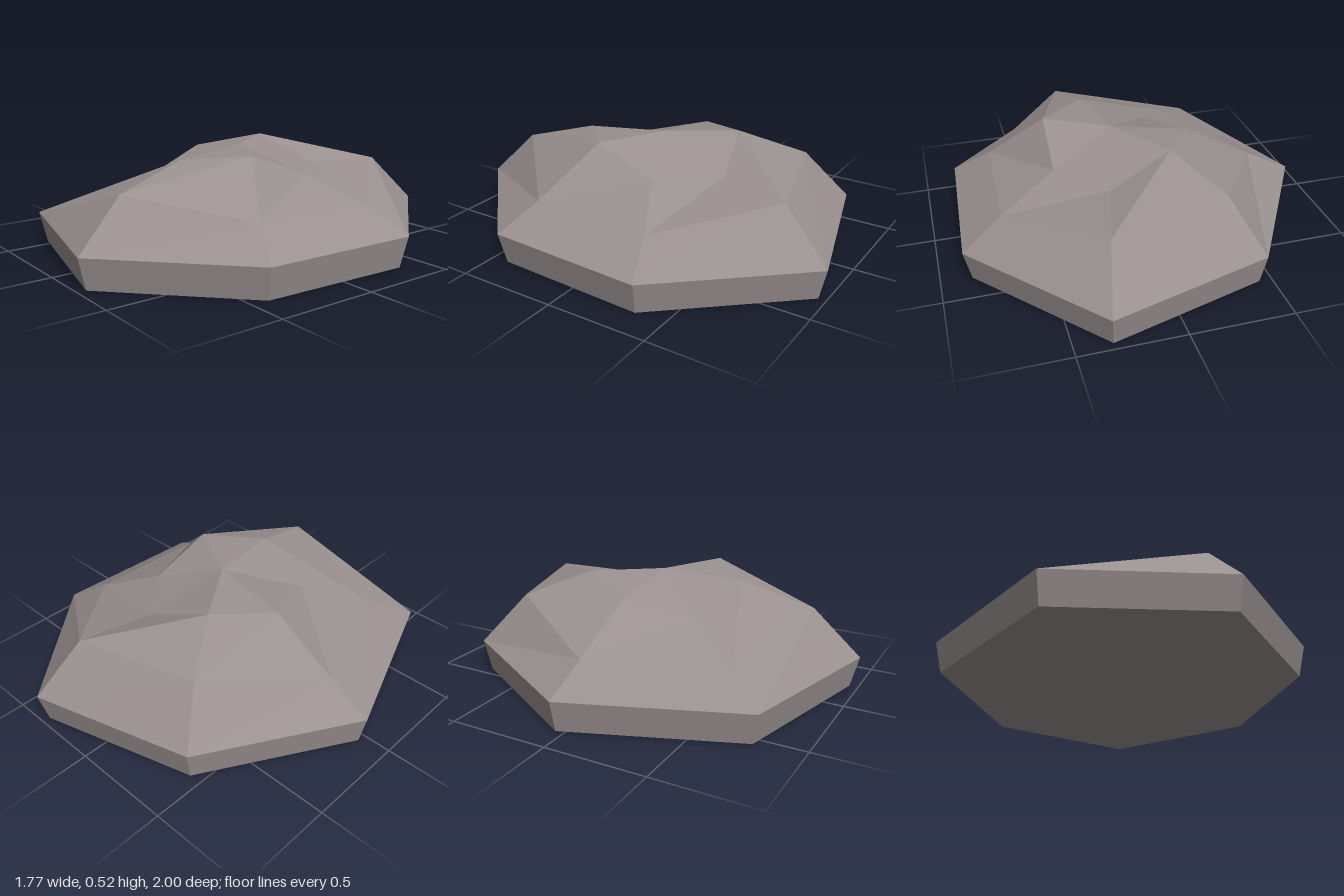
import * as THREE from 'three';

// Seven corners per ring, clockwise from the back as seen from above: [x, y, z]
const RIM = [
  [0.34, 0.155, -1.0], [0.885, 0.155, -0.365], [0.845, 0.155, 0.43], [0.255, 0.155, 0.995],
  [-0.57, 0.155, 0.795], [-0.89, 0.155, -0.045], [-0.455, 0.155, -0.775],
];
const SHOULDER = [
  [0.28, 0.392, -0.76], [0.69, 0.277, -0.29], [0.66, 0.28, 0.33], [0.21, 0.387, 0.76],
  [-0.41, 0.25, 0.605], [-0.66, 0.27, -0.035], [-0.32, 0.396, -0.59],
];
const CROWN = [
  [0.185, 0.4, -0.4], [0.405, 0.4, -0.15], [0.39, 0.52, 0.17], [0.15, 0.49, 0.4],
  [-0.18, 0.376, 0.32], [-0.31, 0.458, -0.02], [-0.13, 0.515, -0.31],
];
const BASE = RIM.map(([x, , z]) => [x * 0.962, 0, z * 0.962]);
const PEAK = [0.08, 0.518, 0];

// Faceted band between two rings
function band(lower, upper) {
  const tris = [];
  lower.forEach((p, i) => {
    const j = (i + 1) % lower.length;
    tris.push(p, upper[i], lower[j], upper[i], upper[j], lower[j]);
  });
  return tris;
}

// Fan closing a ring to one point, facing up or down
function fan(ring, tip, up) {
  return ring.flatMap((p, i) => {
    const q = ring[(i + 1) % ring.length];
    return up ? [tip, q, p] : [tip, p, q];
  });
}

function facets(name, points, material) {
  const geometry = new THREE.BufferGeometry();
  geometry.setAttribute('position', new THREE.Float32BufferAttribute(points.flat(), 3));
  geometry.computeVertexNormals(); // unshared corners give flat facets
  const mesh = new THREE.Mesh(geometry, material);
  mesh.name = name;
  return mesh;
}

export function createModel() {
  const stone = new THREE.MeshStandardMaterial({ color: 0x9a9090 });
  stone.name = 'stone';

  const rock = new THREE.Group();
  rock.name = 'rock';
  rock.add(
    facets('underside', fan(BASE, [0, 0, 0], false), stone),
    facets('footBand', band(BASE, RIM), stone),
    facets('lowerSlope', band(RIM, SHOULDER), stone),
    facets('upperSlope', band(SHOULDER, CROWN), stone),
    facets('crown', fan(CROWN, PEAK, true), stone),
  );
  return rock;
}
